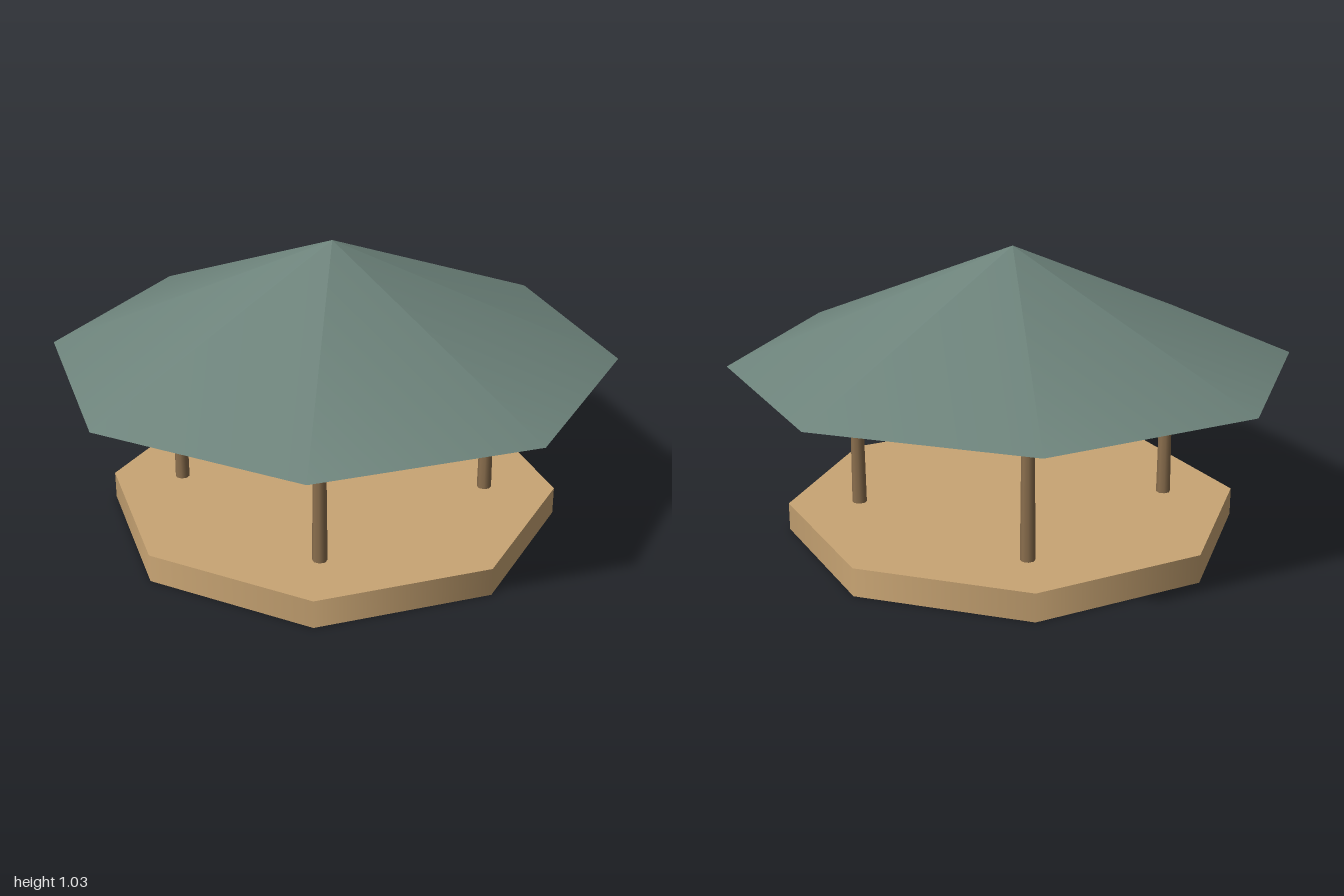
import * as THREE from 'three';

export function createModel() {
  const group = new THREE.Group();
  const material = (name, color) => {
    const m = new THREE.MeshStandardMaterial({ color });
    m.name = name;
    return m;
  };
  const lightWood = material('light wood', 0xc9a574);
  const darkWood = material('dark wood', 0x8b6f4e);
  const roofGreen = material('grey green', 0x6d837b);

  const add = (name, geometry, mat, x, y, z) => {
    const mesh = new THREE.Mesh(geometry, mat);
    mesh.name = name;
    mesh.position.set(x, y, z);
    group.add(mesh);
  };

  // Octagonal floor
  add('floor', new THREE.CylinderGeometry(0.81, 0.81, 0.1, 8), lightWood, 0, 0.05, 0);

  // Four slightly tapered posts
  const post = new THREE.CylinderGeometry(0.021, 0.026, 0.53, 8);
  for (const x of [-0.393, 0.393]) {
    for (const z of [-0.393, 0.393]) add('post', post, darkWood, x, 0.36, z);
  }

  // Shallow octagonal roof with a closed underside
  add('roof', new THREE.ConeGeometry(1, 0.41, 8), roofGreen, 0, 0.826, 0);

  return group;
}
